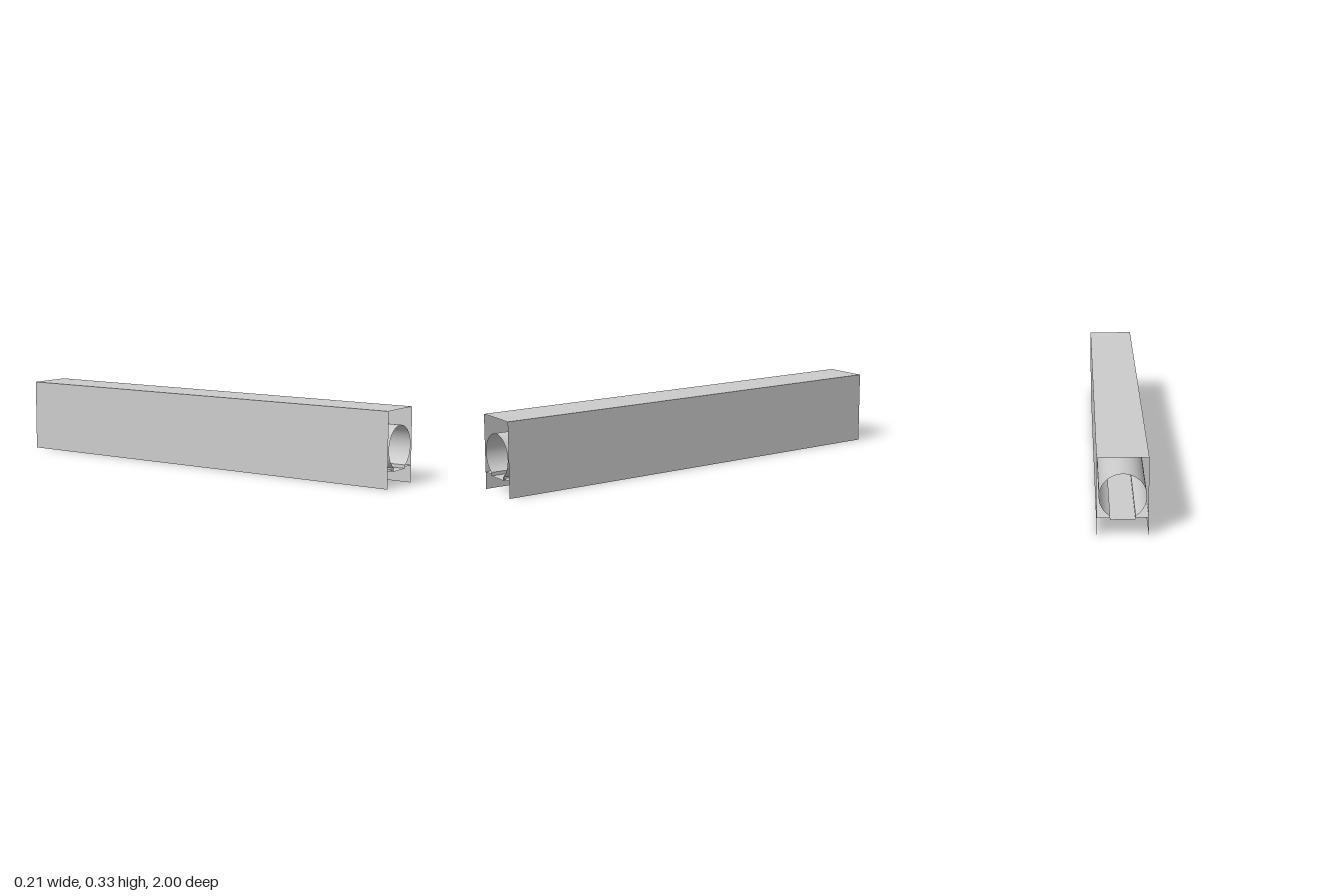
import * as THREE from 'three';

const LENGTH = 2;
const material = new THREE.MeshStandardMaterial({ color: 0xcccccc, side: THREE.DoubleSide });

// Sweeps an open [x, y] profile along z as a thin sheet with open ends.
function sheet(name, profile, smooth = false) {
  const pos = [], index = [];
  profile.forEach(([x, y], i) => {
    pos.push(x, y, LENGTH / 2, x, y, -LENGTH / 2);
    if (i > 0) {
      const a = 2 * (i - 1);
      index.push(a, a + 2, a + 1, a + 1, a + 2, a + 3);
    }
  });
  let geometry = new THREE.BufferGeometry();
  geometry.setAttribute('position', new THREE.Float32BufferAttribute(pos, 3));
  geometry.setIndex(index);
  if (!smooth) geometry = geometry.toNonIndexed();
  geometry.computeVertexNormals();
  const mesh = new THREE.Mesh(geometry, material);
  mesh.name = name;
  return mesh;
}

export function createModel() {
  const group = new THREE.Group();
  group.name = 'tubeHousing';
  const w = 0.105, h = 0.333;        // housing half width and height
  const floorY = 0.077, trayY = 0.069, slot = 0.051;
  const radius = 0.097, centreY = 0.167;

  // Housing: two walls and a roof, open below and at both ends
  group.add(sheet('housing', [[w, 0], [w, h], [-w, h], [-w, 0]]));

  // Floor: side ledges with a shallow recessed tray between them
  group.add(sheet('floor', [
    [-w, floorY], [-slot, floorY], [-slot, trayY],
    [slot, trayY], [slot, floorY], [w, floorY],
  ]));

  // Tube: round shell with a slot along its underside
  const gap = Math.asin(slot / radius);
  const segments = 64;
  const arc = [];
  for (let i = 0; i <= segments; i++) {
    const a = -Math.PI / 2 + gap + (i / segments) * 2 * (Math.PI - gap);
    arc.push([radius * Math.cos(a), centreY + radius * Math.sin(a)]);
  }
  group.add(sheet('tube', arc, true));

  // Lips joining the tube edges to the floor ledges
  for (const side of [-1, 1]) {
    const lipTop = centreY - radius * Math.cos(gap);
    group.add(sheet(side > 0 ? 'leftLip' : 'rightLip', [[side * slot, floorY], [side * slot, lipTop]]));
  }
  return group;
}
